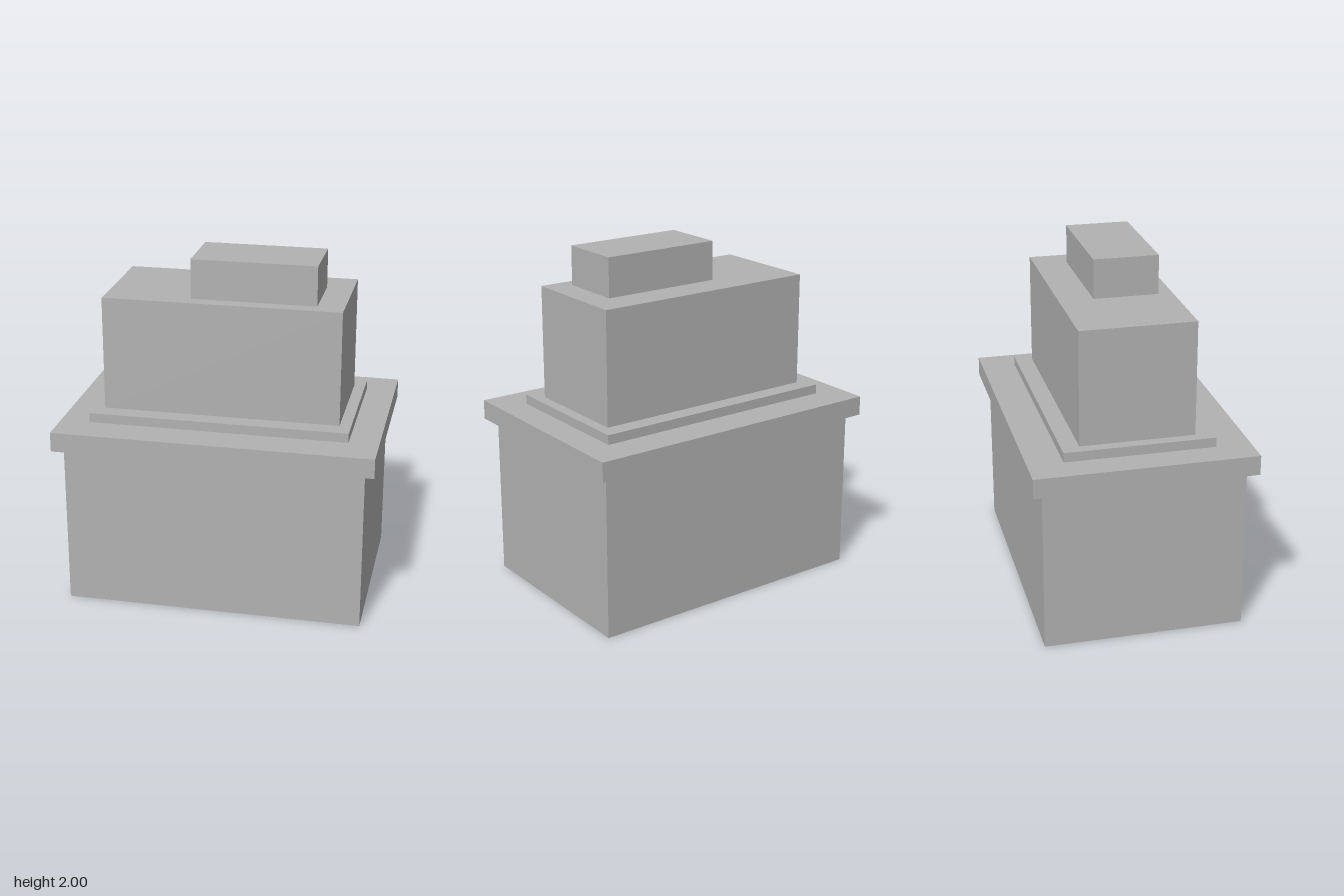
import * as THREE from 'three';

export function createModel() {
  const model = new THREE.Group();
  const grey = new THREE.MeshStandardMaterial({ color: 0xb2b2b2, side: THREE.DoubleSide });
  grey.name = 'plain grey';

  // Thin-shelled box, open underneath, given by its limits on each axis
  function addShell(name, [x0, x1], [y0, y1], [z0, z1]) {
    const geometry = new THREE.BoxGeometry(x1 - x0, y1 - y0, z1 - z0);
    // Drop the six indices of the bottom face (fourth side of the box)
    const index = Array.from(geometry.index.array);
    index.splice(18, 6);
    geometry.setIndex(index);
    geometry.clearGroups();
    const mesh = new THREE.Mesh(geometry, grey);
    mesh.position.set((x0 + x1) / 2, (y0 + y1) / 2, (z0 + z1) / 2);
    mesh.name = name;
    model.add(mesh);
  }

  // Main block, with its top tucked inside the overhanging slab
  addShell('lowerBlock', [-0.855, 0.855], [0, 0.965], [-0.57, 0.57]);
  addShell('overhangingSlab', [-0.912, 0.912], [0.947, 1.06], [-0.627, 0.627]);

  // Stepped upper storeys
  addShell('upperPlinth', [-0.742, 0.742], [1.06, 1.115], [-0.427, 0.427]);
  addShell('upperBlock', [-0.677, 0.677], [1.115, 1.773], [-0.326, 0.326]);

  // Off-centre roof housing
  addShell('roofHousing', [-0.185, 0.525], [1.773, 2], [-0.13, 0.243]);

  return model;
}
